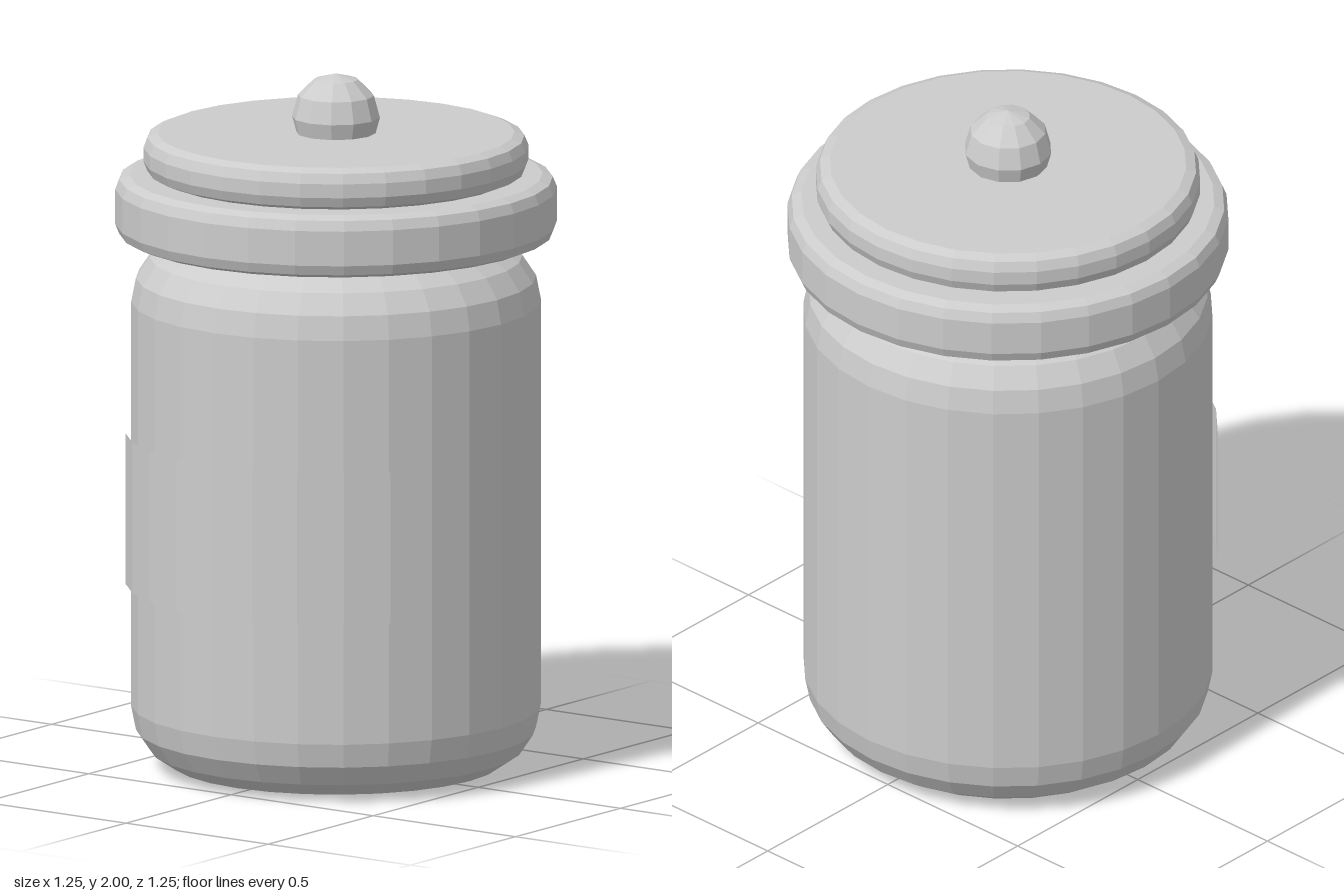
import * as THREE from 'three';

const SIDES = 28;
const STEP = (Math.PI * 2) / SIDES;

// Solid turned disc from y0 to y1 with rounded top and bottom rims
function roundedDrum(name, radius, y0, y1, round, steps, material) {
  const points = [new THREE.Vector2(0, y0)];
  const arc = (cy, from) => {
    for (let i = 0; i <= steps; i++) {
      const a = from + (i / steps) * (Math.PI / 2);
      points.push(new THREE.Vector2(radius - round + Math.cos(a) * round, cy + Math.sin(a) * round));
    }
  };
  arc(y0 + round, -Math.PI / 2);
  arc(y1 - round, 0);
  points.push(new THREE.Vector2(0, y1));
  const mesh = new THREE.Mesh(new THREE.LatheGeometry(points, SIDES), material);
  mesh.name = name;
  return mesh;
}

export function createModel() {
  const group = new THREE.Group();
  group.name = 'jar';
  const grey = new THREE.MeshStandardMaterial({ color: 0xcccccc, flatShading: true, side: THREE.DoubleSide });
  grey.name = 'light grey';

  // Jar body, collar and lid
  group.add(
    roundedDrum('body', 0.58, 0, 1.525, 0.18, 4, grey),
    roundedDrum('collar', 0.625, 1.53, 1.71, 0.04, 2, grey),
    roundedDrum('lid', 0.545, 1.71, 1.83, 0.04, 2, grey)
  );

  // Short neck joining body and collar
  const neck = new THREE.Mesh(new THREE.CylinderGeometry(0.4, 0.4, 0.06, SIDES), grey);
  neck.name = 'neck';
  neck.position.y = 1.54;
  group.add(neck);

  // Lid knob
  const knob = new THREE.Mesh(new THREE.SphereGeometry(0.125, 12, 6), grey);
  knob.name = 'knob';
  knob.position.y = 1.875;
  group.add(knob);

  // Blank label wrapped around the front
  const edge = [new THREE.Vector2(0.595, 0.53), new THREE.Vector2(0.595, 0.965)];
  const label = new THREE.Mesh(new THREE.LatheGeometry(edge, 8, -4 * STEP, 8 * STEP), grey);
  label.name = 'label';
  group.add(label);

  return group;
}
